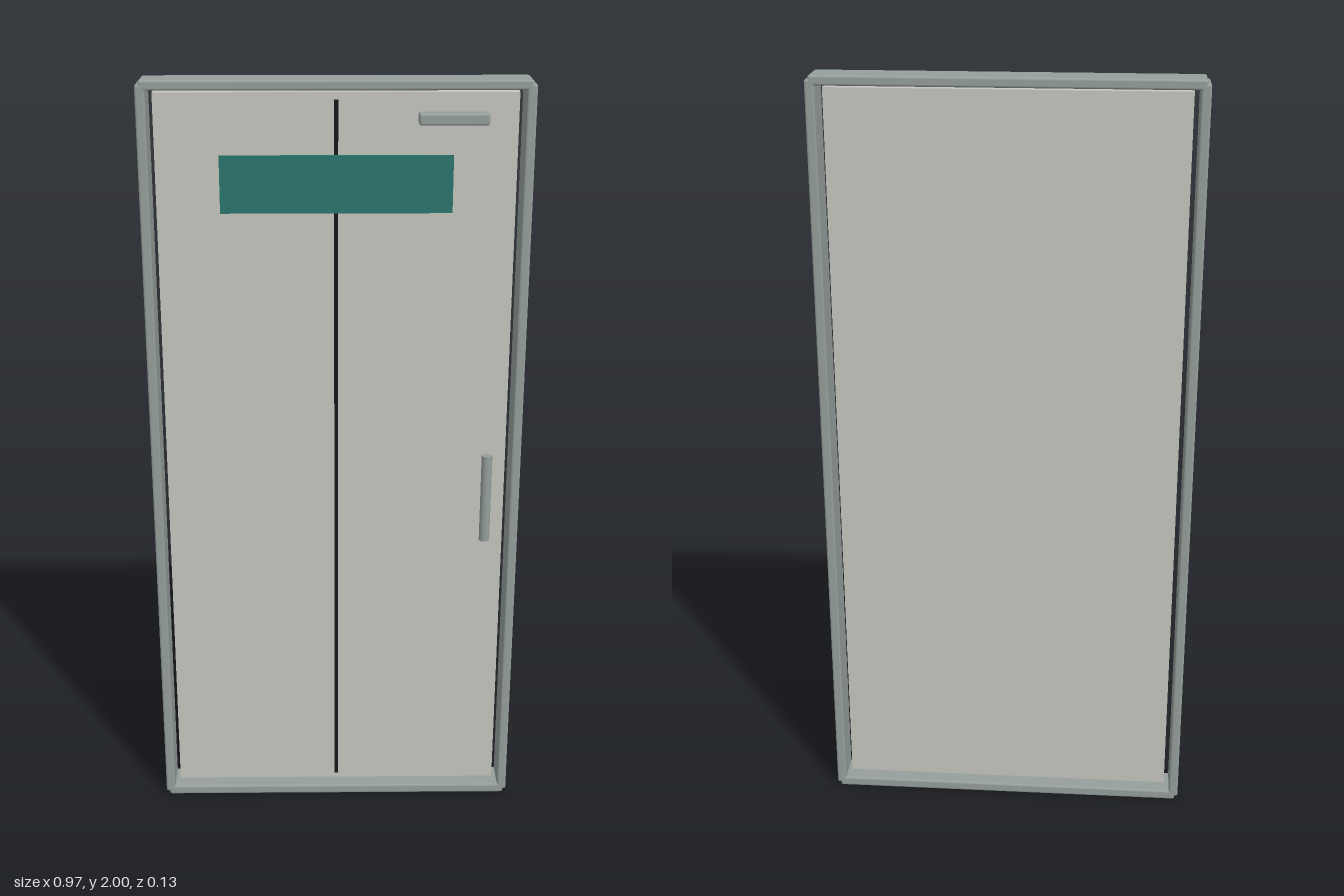
import * as THREE from 'three';
import { RoundedBoxGeometry } from 'three/addons/geometries/RoundedBoxGeometry.js';

const material = (name, color) => {
  const m = new THREE.MeshStandardMaterial({ color });
  m.name = name;
  return m;
};

export function createModel() {
  const model = new THREE.Group();
  model.name = 'door';

  const metal = material('grey metal', 0x959f9b);
  const panelGrey = material('pale panel grey', 0xc6c6c0);
  const teal = material('teal', 0x2a756c);
  const dark = material('dark seam', 0x14191c);

  const add = (name, geometry, mat, x, y, z) => {
    const mesh = new THREE.Mesh(geometry, mat);
    mesh.name = name;
    mesh.position.set(x, y, z);
    model.add(mesh);
    return mesh;
  };
  const rounded = (w, h, d, r) => new RoundedBoxGeometry(w, h, d, 2, r);

  // Frame: two posts, with a header and a sill between them
  const frameZ = -0.022, frameDepth = 0.094;
  for (const side of [-1, 1]) {
    add(side > 0 ? 'leftPost' : 'rightPost',
      rounded(0.025, 1.98, frameDepth, 0.006), metal, side * 0.4715, 1, frameZ);
  }
  add('header', rounded(0.95, 0.025, frameDepth, 0.006), metal, 0, 1.9875, frameZ);
  add('sill', rounded(0.95, 0.027, frameDepth, 0.006), metal, 0, 0.0135, frameZ);

  // Door panel, set back in the frame with a narrow gap
  add('doorPanel', new THREE.BoxGeometry(0.89, 1.93, 0.04), panelGrey, 0, 1.003, frameZ);

  // Centre seam on the front face
  add('centreSeam', new THREE.BoxGeometry(0.01, 1.895, 0.006), dark, 0, 1.003, 0);

  // Sign plate
  add('signPlate', new THREE.BoxGeometry(0.57, 0.142, 0.004), teal, 0, 1.753, 0.041);

  // Closer box near the top
  add('closerBox', rounded(0.17, 0.029, 0.04, 0.006), metal, 0.283, 1.912, 0.045);

  // Upright pull handle
  add('pullHandle', new THREE.CylinderGeometry(0.014, 0.014, 0.24, 20), metal, 0.393, 0.922, 0.041);

  return model;
}
